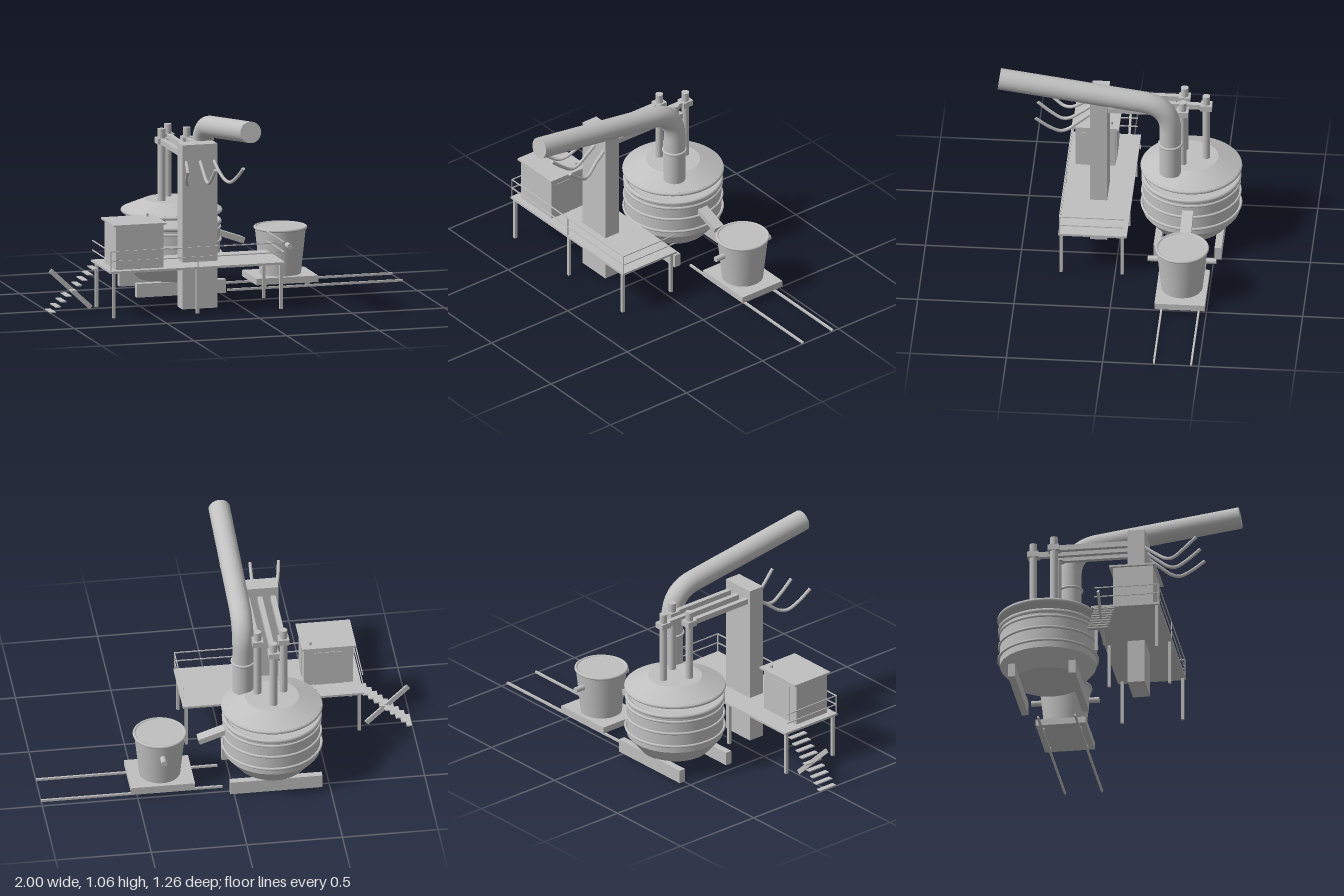
import * as THREE from 'three';

export function createModel() {
  const root = new THREE.Group();
  const steel = new THREE.MeshStandardMaterial({ color: 0xc0c0c0 });
  steel.name = 'steelGrey';

  const add = (name, geo, x = 0, y = 0, z = 0, parent = root) => {
    const m = new THREE.Mesh(geo, steel);
    m.name = name;
    m.position.set(x, y, z);
    parent.add(m);
    return m;
  };
  // box given by its min and max on each axis
  const box = (name, x0, x1, y0, y1, z0, z1, parent = root) =>
    add(name, new THREE.BoxGeometry(x1 - x0, y1 - y0, z1 - z0),
      (x0 + x1) / 2, (y0 + y1) / 2, (z0 + z1) / 2, parent);
  // upright cylinder or cone between two heights
  const drum = (name, rTop, rBottom, y0, y1, x, z, parent = root, open = false) =>
    add(name, new THREE.CylinderGeometry(rTop, rBottom, y1 - y0, 48, 1, open), x, (y0 + y1) / 2, z, parent);
  const ring = (name, r, tube, x, y, z, parent = root) => {
    const m = add(name, new THREE.TorusGeometry(r, tube, 12, 56), x, y, z, parent);
    m.rotation.x = Math.PI / 2;
    return m;
  };
  const group = (name) => {
    const g = new THREE.Group();
    g.name = name;
    root.add(g);
    return g;
  };

  // furnace vessel with bands, spout and rocker beams
  const fx = -0.22, fz = -0.365;
  const furnace = group('furnace');
  drum('vesselShell', 0.25, 0.25, 0.165, 0.375, fx, fz, furnace);
  drum('vesselBottom', 0.25, 0.18, 0.08, 0.165, fx, fz, furnace);
  ring('vesselRim', 0.248, 0.012, fx, 0.373, fz, furnace);
  [0.343, 0.277, 0.204].forEach((y, i) => ring('vesselBand', 0.251 + i * 0.003, 0.007, fx, y, fz, furnace));
  const spout = add('spout', new THREE.BoxGeometry(0.19, 0.03, 0.058), 0.076, 0.283, fz, furnace);
  spout.rotation.z = -0.34;
  for (const z of [-0.205, -0.522]) box('rockerBeam', -0.46, 0.022, 0.012, 0.084, z - 0.018, z + 0.018, furnace);

  // raised lid
  const lid = group('lid');
  drum('lidEdge', 0.256, 0.256, 0.424, 0.442, fx, fz, lid);
  ring('lidRim', 0.254, 0.01, fx, 0.432, fz, lid);
  drum('lidCone', 0.14, 0.256, 0.442, 0.49, fx, fz, lid);

  // mast, electrodes and their arms
  box('mast', -0.315, -0.125, 0.005, 0.87, 0.065, 0.155);
  const electrodes = group('electrodes');
  for (const [x, z] of [[-0.286, -0.325], [-0.217, -0.443], [-0.15, -0.325]]) {
    drum('electrode', 0.02, 0.02, 0.25, 0.87, x, z, electrodes);
    box('electrodeClamp', x - 0.028, x + 0.028, 0.791, 0.822, z - 0.03, z + 0.03, electrodes);
    box('electrodeArm', x - 0.013, x + 0.013, 0.791, 0.82, z, 0.07, electrodes);
  }

  // sagging power cables
  for (const side of [-1, 0, 1]) {
    const x = -0.217 + side * 0.075, out = side * 0.075;
    const path = new THREE.CatmullRomCurve3([
      [0, 0.78, 0.15], [0.12, 0.735, 0.21], [0.35, 0.697, 0.265], [0.55, 0.692, 0.305],
      [0.8, 0.725, 0.36], [1, 0.785, 0.432],
    ].map(([t, y, z]) => new THREE.Vector3(x + t * out, y, z)));
    add('powerCable', new THREE.TubeGeometry(path, 32, 0.009, 10));
    for (const [t, y, z, a] of [[1, 0.785, 0.432, 0.9]]) {
      const cap = add('cableEnd', new THREE.CircleGeometry(0.009, 10), x + t * out, y, z);
      cap.rotation.x = -a;
    }
  }

  // fume duct
  const dx = -0.083, dz = -0.267, R = 0.056;
  const duct = group('fumeDuct');
  const P = (y, z) => new THREE.Vector3(dx, y, z);
  const bend = new THREE.CurvePath();
  bend.add(new THREE.LineCurve3(P(0.475, dz), P(0.74, dz)));
  bend.add(new THREE.QuadraticBezierCurve3(P(0.74, dz), P(0.886, dz), P(0.907, -0.12)));
  bend.add(new THREE.LineCurve3(P(0.907, -0.12), P(1.012, 0.622)));
  add('ductPipe', new THREE.TubeGeometry(bend, 100, R, 36), 0, 0, 0, duct);
  const endCap = add('ductEnd', new THREE.CircleGeometry(R, 36), dx, 1.012, 0.622, duct);
  endCap.rotation.x = -Math.atan(0.1415);
  ring('ductFlange', 0.058, 0.007, dx, 0.655, dz, duct);

  // working platform with legs and railing
  const platform = group('platform');
  box('platformDeck', -0.743, 0.202, 0.24, 0.252, -0.062, 0.294, platform);
  for (const x of [-0.722, -0.27, 0.181])
    for (const z of [0.28, -0.037]) box('platformLeg', x - 0.008, x + 0.008, 0.005, 0.24, z - 0.008, z + 0.008, platform);
  const t = 0.0025;
  for (const y of [0.304, 0.355]) {
    box('frontRail', -0.742, 0.2, y - t, y + t, 0.288 - t, 0.288 + t, platform);
    for (const x of [-0.74, 0.198]) box('sideRail', x - t, x + t, y - t, y + t, -0.047, 0.288, platform);
  }
  for (const x of [-0.74, -0.27, 0.198]) box('railPost', x - t, x + t, 0.25, 0.357, 0.288 - t, 0.288 + t, platform);

  // control cabin
  const cabin = group('controlCabin');
  box('cabinBody', -0.703, -0.447, 0.252, 0.48, 0.048, 0.256, cabin);
  box('cabinRoof', -0.717, -0.433, 0.48, 0.49, 0.028, 0.27, cabin);
  box('cabinDoor', -0.447, -0.444, 0.252, 0.45, 0.14, 0.225, cabin);
  box('cabinPanel', -0.65, -0.5, 0.252, 0.45, 0.045, 0.048, cabin);
  drum('roofKnob', 0.007, 0.007, 0.49, 0.506, -0.48, 0.07, cabin);

  // stairs
  const stairs = group('stairs');
  for (let i = 0; i < 9; i++) {
    const x = -0.985 + i * 0.0285, y = 0.008 + i * 0.0268;
    box('stairTread', x - 0.014, x + 0.014, y - 0.003, y + 0.003, -0.042, 0.064, stairs);
  }
  const stringer = add('stairStringer', new THREE.BoxGeometry(0.3, 0.025, 0.012), -0.876, 0.117, 0.011, stairs);
  stringer.rotation.z = -0.755;

  // track, cart and ladle
  const lx = 0.367, lz = -0.363;
  const cart = group('ladleCart');
  for (const z of [lz - 0.097, lz + 0.097]) {
    box('trackRail', 0.052, 1.0, 0.005, 0.017, z - 0.005, z + 0.005);
    for (const x of [0.25, 0.484]) {
      const wheel = add('cartWheel', new THREE.CylinderGeometry(0.013, 0.013, 0.012, 20), x, 0.028, z, cart);
      wheel.rotation.x = Math.PI / 2;
    }
  }
  box('cartDeck', 0.2, 0.534, 0.033, 0.067, lz - 0.131, lz + 0.131, cart);
  const ladle = group('ladle');
  drum('ladleBody', 0.133, 0.107, 0.067, 0.312, lx, lz, ladle);
  ring('ladleRim', 0.132, 0.008, lx, 0.309, lz, ladle);
  const trunnion = add('ladleTrunnion', new THREE.CylinderGeometry(0.015, 0.015, 0.356, 20), lx, 0.236, lz, ladle);
  trunnion.rotation.x = Math.PI / 2;

  return root;
}
